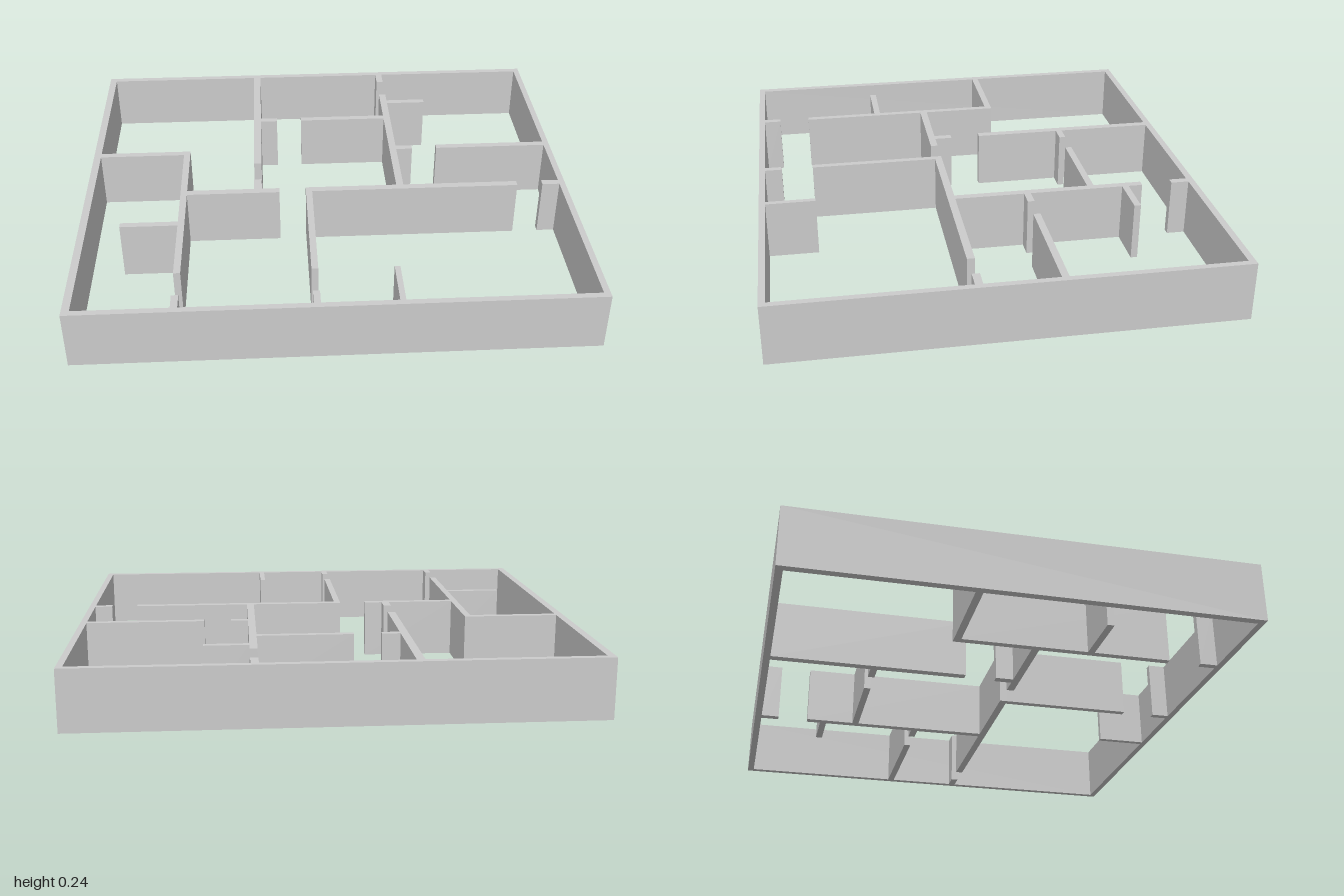
import * as THREE from 'three';

const HEIGHT = 0.237;

export function createModel() {
  const model = new THREE.Group();
  model.name = 'floorPlan';
  const material = new THREE.MeshStandardMaterial({ color: 0xcccccc, flatShading: true });

  // Outer walls: one rectangular ring extruded upwards
  const outline = new THREE.Shape();
  outline.moveTo(-1, -0.89).lineTo(1, -0.89).lineTo(1, 0.89).lineTo(-1, 0.89).closePath();
  const inside = new THREE.Path();
  inside.moveTo(-0.97, -0.865).lineTo(-0.97, 0.863).lineTo(0.975, 0.863).lineTo(0.975, -0.865).closePath();
  outline.holes.push(inside);
  const ring = new THREE.ExtrudeGeometry(outline, { depth: HEIGHT, bevelEnabled: false });
  ring.rotateX(-Math.PI / 2);
  const outer = new THREE.Mesh(ring, material);
  outer.name = 'outerWalls';
  model.add(outer);

  // Inner wall filling a rectangle of the plan
  const wall = (name, x0, x1, z0, z1) => {
    const mesh = new THREE.Mesh(new THREE.BoxGeometry(x1 - x0, HEIGHT, z1 - z0), material);
    mesh.position.set((x0 + x1) / 2, HEIGHT / 2, (z0 + z1) / 2);
    mesh.name = name;
    model.add(mesh);
  };

  // Walls running front to back: name, x range, then z spans between the doorways
  const lengthwise = [
    ['backLeftRoomWall', 0.29, 0.32, [[-0.863, -0.79], [-0.665, 0.112]]],
    ['backRightRoomWall', -0.305, -0.273, [[-0.863, -0.085], [0.04, 0.112]]],
    ['frontRightRoomWall', -0.61, -0.583, [[-0.198, 0.665], [0.795, 0.865]]],
    ['frontHallWall', -0.09, -0.064, [[0.142, 0.665], [0.795, 0.865]]],
    ['frontPartition', 0.225, 0.247, [[0.665, 0.865]]],
  ];
  for (const [name, x0, x1, spans] of lengthwise) {
    for (const [z0, z1] of spans) wall(name, x0, x1, z0, z1);
  }

  // Walls running side to side: name, z range, then x spans between the doorways
  const crosswise = [
    ['leftPartition', -0.607, -0.58, [[0.32, 0.493]]],
    ['backMiddleRoomWall', -0.467, -0.44, [[-0.273, -0.2], [-0.09, 0.29]]],
    ['leftRoomWall', -0.198, -0.17, [[0.32, 0.39], [0.497, 0.975]]],
    ['rightRoomWall', -0.198, -0.17, [[-0.97, -0.61]]],
    ['middleWall', 0.112, 0.142, [[-0.583, -0.2], [-0.09, 0.797], [0.903, 0.975]]],
    ['rightPartition', 0.33, 0.357, [[-0.84, -0.61]]],
  ];
  for (const [name, z0, z1, spans] of crosswise) {
    for (const [x0, x1] of spans) wall(name, x0, x1, z0, z1);
  }

  return model;
}
